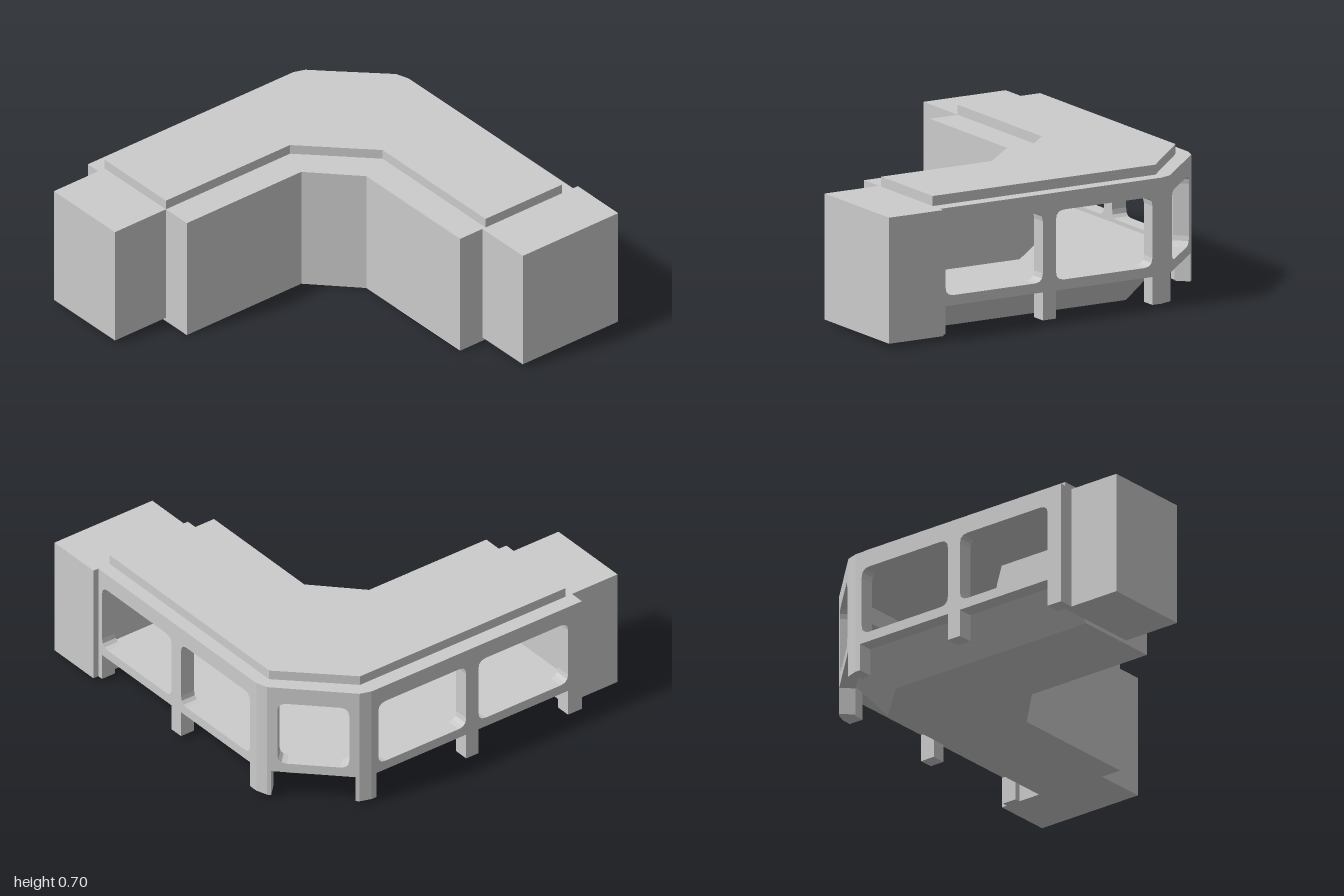
import * as THREE from 'three';

const grey = new THREE.MeshStandardMaterial({ color: 0xcccccc, flatShading: true });

function mesh(name, geometry) {
  const m = new THREE.Mesh(geometry, grey);
  m.name = name;
  return m;
}

// Vertical prism over a ground outline of [x, z] points
function prism(points, y0, y1) {
  const shape = new THREE.Shape(points.map(([x, z]) => new THREE.Vector2(x, -z)));
  const g = new THREE.ExtrudeGeometry(shape, { depth: y1 - y0, bevelEnabled: false });
  return g.rotateX(-Math.PI / 2).translate(0, y0, 0);
}

function box(name, x0, x1, y0, y1, z0, z1) {
  const g = new THREE.BoxGeometry(x1 - x0, y1 - y0, z1 - z0);
  return mesh(name, g.translate((x0 + x1) / 2, (y0 + y1) / 2, (z0 + z1) / 2));
}

function roundedHole(x0, x1, y0, y1, r) {
  const p = new THREE.Path();
  p.moveTo(x0 + r, y0);
  p.lineTo(x1 - r, y0).quadraticCurveTo(x1, y0, x1, y0 + r);
  p.lineTo(x1, y1 - r).quadraticCurveTo(x1, y1, x1 - r, y1);
  p.lineTo(x0 + r, y1).quadraticCurveTo(x0, y1, x0, y1 - r);
  p.lineTo(x0, y0 + r).quadraticCurveTo(x0, y0, x0 + r, y0);
  return p;
}

const FOOT = 0.02, RAIL = 0.16, SILL = 0.21, HEAD = 0.56, TOP = 0.65, DEPTH = 0.08;

// Window frame running from a to b along its outer face, with legs below the rail
function windowFrame(name, [ax, az], [bx, bz], windows, legs) {
  const dx = bx - ax, dz = bz - az, length = Math.hypot(dx, dz);
  const pts = [[0, TOP], [0, RAIL]];
  for (const [l0, l1] of legs) pts.push([l0, RAIL], [l0, FOOT], [l1, FOOT], [l1, RAIL]);
  pts.push([length, RAIL], [length, TOP]);
  const clean = pts.filter((p, i) => !i || p[0] !== pts[i - 1][0] || p[1] !== pts[i - 1][1]);
  const shape = new THREE.Shape(clean.map(([x, y]) => new THREE.Vector2(x, y)));
  for (const [w0, w1] of windows) shape.holes.push(roundedHole(w0, w1, SILL, HEAD, 0.045));
  const g = new THREE.ExtrudeGeometry(shape, { depth: DEPTH, bevelEnabled: false, curveSegments: 3 });
  g.translate(0, 0, -DEPTH);
  const m = mesh(name, g);
  m.position.set(ax, 0, az);
  m.rotation.y = Math.atan2(-dz, dx);
  return m;
}

export function createModel() {
  const group = new THREE.Group();

  // Outer and inner edges of the angled plan
  const outer = [[-0.91, 0.68], [-0.91, -0.58], [-0.6, -0.9], [0.67, -0.9]];
  const inner = [[0.67, -0.42], [-0.12, -0.42], [-0.44, -0.1], [-0.44, 0.68]];
  const front = [[-0.28, 0.68], [-0.28, -0.04], [-0.05, -0.26], [0.67, -0.26]];

  group.add(mesh('roofSlab', prism([...outer, ...inner], TOP, 0.7)));
  group.add(mesh('frontBlock', prism([...inner, ...front], 0, TOP)));

  // Floor base: the outer edge slopes inwards towards the ground
  const base = prism([...outer, ...inner], 0, 0.19);
  const pos = base.attributes.position;
  for (let i = 0; i < pos.count; i++) {
    if (pos.getY(i) > 0.01) continue;
    const x = pos.getX(i), z = pos.getZ(i);
    if (x < -0.9) pos.setXYZ(i, x + 0.16, 0, z < 0 ? z + 0.07 : z);
    else if (z < -0.89) pos.setXYZ(i, x < 0 ? x + 0.07 : x, 0, z + 0.16);
  }
  base.computeVertexNormals();
  group.add(mesh('slopedBase', base));

  // Closed blocks at both ends
  group.add(box('sideEndBlock', 0.67, 0.98, FOOT, TOP, -1, -0.4));
  group.add(box('frontEndBlock', -0.91, -0.44, FOOT, TOP, 0.68, 1));

  // Window frames on the three outer walls
  group.add(windowFrame('backWindowFrame', [0.7, -0.97], [-0.57, -0.97],
    [[0.06, 0.615], [0.69, 1.24]], [[0, 0.06], [0.615, 0.69]]));
  group.add(windowFrame('cornerWindowFrame', [-0.664, -0.936], [-0.956, -0.644],
    [[0.03, 0.383]], []));
  group.add(windowFrame('sideWindowFrame', [-0.99, -0.55], [-0.99, 0.72],
    [[0.02, 0.56], [0.635, 1.185]], [[0.56, 0.635], [1.185, 1.27]]));

  // Bevelled posts where the walls meet
  group.add(mesh('backCornerPost', prism([[-0.54, -0.97], [-0.59, -0.97], [-0.65, -0.95],
    [-0.664, -0.936], [-0.607, -0.879], [-0.6, -0.89], [-0.54, -0.89]], FOOT, TOP)));
  group.add(mesh('sideCornerPost', prism([[-0.99, -0.54], [-0.99, -0.57], [-0.97, -0.63],
    [-0.956, -0.644], [-0.899, -0.587], [-0.91, -0.58], [-0.91, -0.54]], FOOT, TOP)));

  return group;
}
